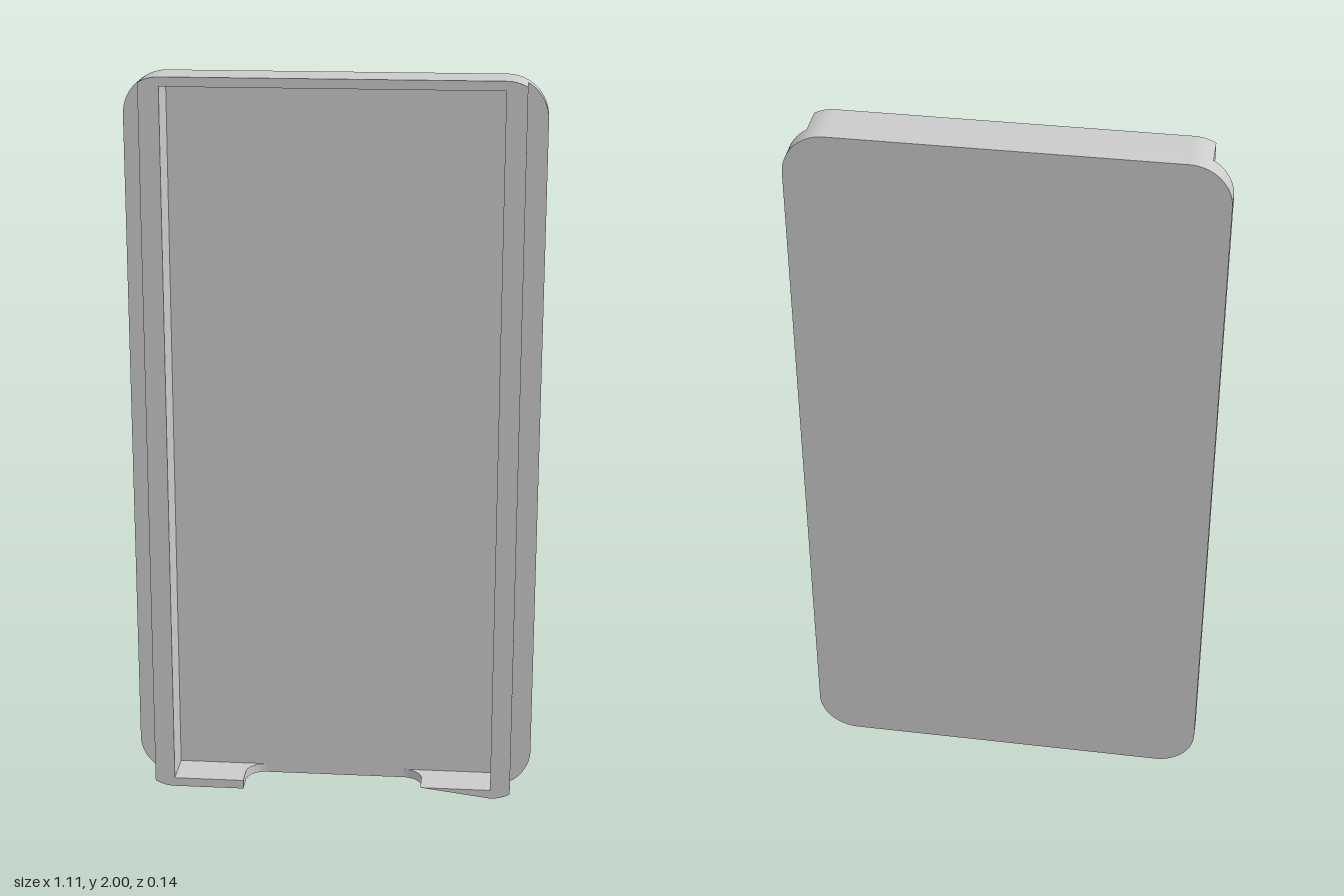
import * as THREE from 'three';
import { toCreasedNormals } from 'three/addons/utils/BufferGeometryUtils.js';

const HALF = 0.555, RIM = 0.5, R = 0.11, H = 2;    // plate half width, rim half width, corner radius, height
const POCKET = 0.445, WALL = 0.025;                // pocket half width, top and bottom wall thickness
const NOTCH = 0.25, FILLET = 0.055;                // notch half width and inner corner radius
const BACK = -0.07, FLOOR = -0.043, STEP = -0.015, FRONT = 0.07;

const material = new THREE.MeshStandardMaterial({ color: 0xcccccc });

function part(name, shape, depth) {
  const geometry = new THREE.ExtrudeGeometry(shape, { depth, bevelEnabled: false, curveSegments: 16 });
  const mesh = new THREE.Mesh(toCreasedNormals(geometry, 0.6), material);
  mesh.name = name;
  return mesh;
}

// Rounded outline cut off at x = +-w; starts and ends on the bottom edge at x = +-gap
function outline(w, gap) {
  const cx = HALF - R, a = Math.acos((w - cx) / R), q = Math.PI / 2;
  const s = new THREE.Shape();
  s.moveTo(gap, 0);
  s.absarc(cx, R, R, -q, -a, false);
  s.absarc(cx, H - R, R, a, q, false);
  s.absarc(-cx, H - R, R, q, Math.PI - a, false);
  s.absarc(-cx, R, R, Math.PI + a, 3 * q, false);
  if (gap) s.lineTo(-gap, 0);
  return s;
}

// Wall around the pocket, open at the bottom notch
function wallShape(w) {
  const s = outline(w, NOTCH);
  s.lineTo(-NOTCH, WALL);
  s.lineTo(-POCKET, WALL);
  s.lineTo(-POCKET, H - WALL);
  s.lineTo(POCKET, H - WALL);
  s.lineTo(POCKET, WALL);
  s.lineTo(NOTCH, WALL);
  s.closePath();
  return s;
}

export function createModel() {
  const model = new THREE.Group();
  model.name = 'trayCover';

  const plate = part('backPlate', outline(HALF, 0), FLOOR - BACK);
  plate.position.z = BACK;

  const flange = part('sideFlange', wallShape(HALF), STEP - FLOOR);
  flange.position.z = FLOOR;

  const rim = part('rim', wallShape(RIM), FRONT - STEP);
  rim.position.z = STEP;

  model.add(plate, flange, rim);

  // Rounded inner corners of the notch
  for (const side of [1, -1]) {
    const s = new THREE.Shape();
    const c = side * (NOTCH - FILLET);
    s.moveTo(side * NOTCH, FLOOR);
    s.lineTo(side * NOTCH, FLOOR + FILLET);
    if (side > 0) s.absarc(c, FLOOR + FILLET, FILLET, 0, -Math.PI / 2, true);
    else s.absarc(c, FLOOR + FILLET, FILLET, Math.PI, 1.5 * Math.PI, false);
    s.closePath();
    const fillet = part(side > 0 ? 'leftNotchFillet' : 'rightNotchFillet', s, WALL);
    fillet.rotation.x = Math.PI / 2;
    fillet.position.y = WALL;
    model.add(fillet);
  }
  return model;
}
